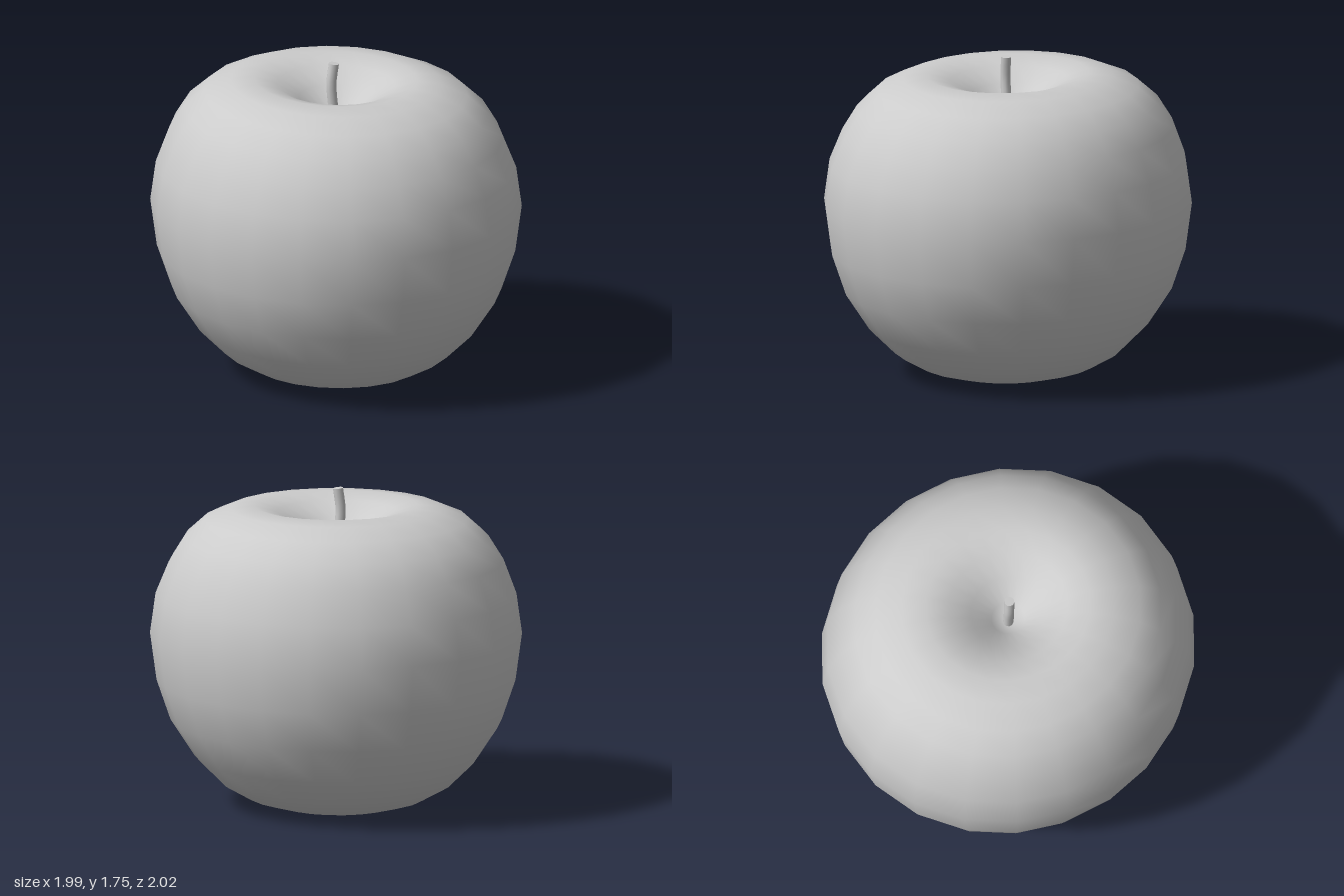
import * as THREE from 'three';
import { mergeVertices } from 'three/addons/utils/BufferGeometryUtils.js';

const material = new THREE.MeshStandardMaterial({ color: 0xcccccc });

// Half outline of the fruit [radius, height], from the lower dimple up and over into the stem pit
const PROFILE = [
  [0, 0.1], [0.07, 0.06], [0.18, 0.01], [0.32, 0.015], [0.48, 0.06], [0.62, 0.14],
  [0.76, 0.28], [0.89, 0.48], [0.965, 0.7], [1, 0.96], [0.97, 1.18],
  [0.9, 1.36], [0.82, 1.49], [0.71, 1.59], [0.57, 1.65], [0.44, 1.665],
  [0.32, 1.63], [0.2, 1.56], [0.09, 1.46], [0, 1.41],
];

function createFruit() {
  const lathe = new THREE.LatheGeometry(PROFILE.map(([r, y]) => new THREE.Vector2(r, y)), 22);
  lathe.deleteAttribute('uv');
  lathe.deleteAttribute('normal');
  const geometry = mergeVertices(lathe, 1e-4);
  const pos = geometry.attributes.position;
  for (let i = 0; i < pos.count; i++) {
    const x = pos.getX(i), y = pos.getY(i), z = pos.getZ(i);
    const angle = Math.atan2(z, x);
    // Slightly oval body, bulging along one diagonal
    const swell = 1.006 + 0.025 * Math.cos(2 * (angle - 0.9));
    // Shoulders stand a little higher at the back left of the outline
    const lift = y > 1.3 ? -0.014 * z - 0.008 * x : 0;
    pos.setXYZ(i, x * swell, y + lift, z * swell);
  }
  geometry.computeVertexNormals();
  const fruit = new THREE.Mesh(geometry, material);
  fruit.name = 'fruit';
  return fruit;
}

function createStem() {
  const stem = new THREE.Group();
  stem.name = 'stem';
  const curve = new THREE.CatmullRomCurve3([
    new THREE.Vector3(-0.005, 1.38, 0),
    new THREE.Vector3(-0.015, 1.5, 0.005),
    new THREE.Vector3(-0.026, 1.64, 0.008),
    new THREE.Vector3(-0.012, 1.757, 0.008),
  ]);
  const radius = 0.028;
  const stalk = new THREE.Mesh(new THREE.TubeGeometry(curve, 8, radius, 10), material);
  stalk.name = 'stalk';

  // Flat cut end, square to the stalk
  const cap = new THREE.Mesh(new THREE.CircleGeometry(radius, 10), material);
  cap.name = 'stalkEnd';
  cap.position.copy(curve.getPoint(1));
  cap.quaternion.setFromUnitVectors(new THREE.Vector3(0, 0, 1), curve.getTangent(1));
  stem.add(stalk, cap);
  return stem;
}

export function createModel() {
  const apple = new THREE.Group();
  apple.name = 'apple';
  apple.add(createFruit(), createStem());
  return apple;
}
